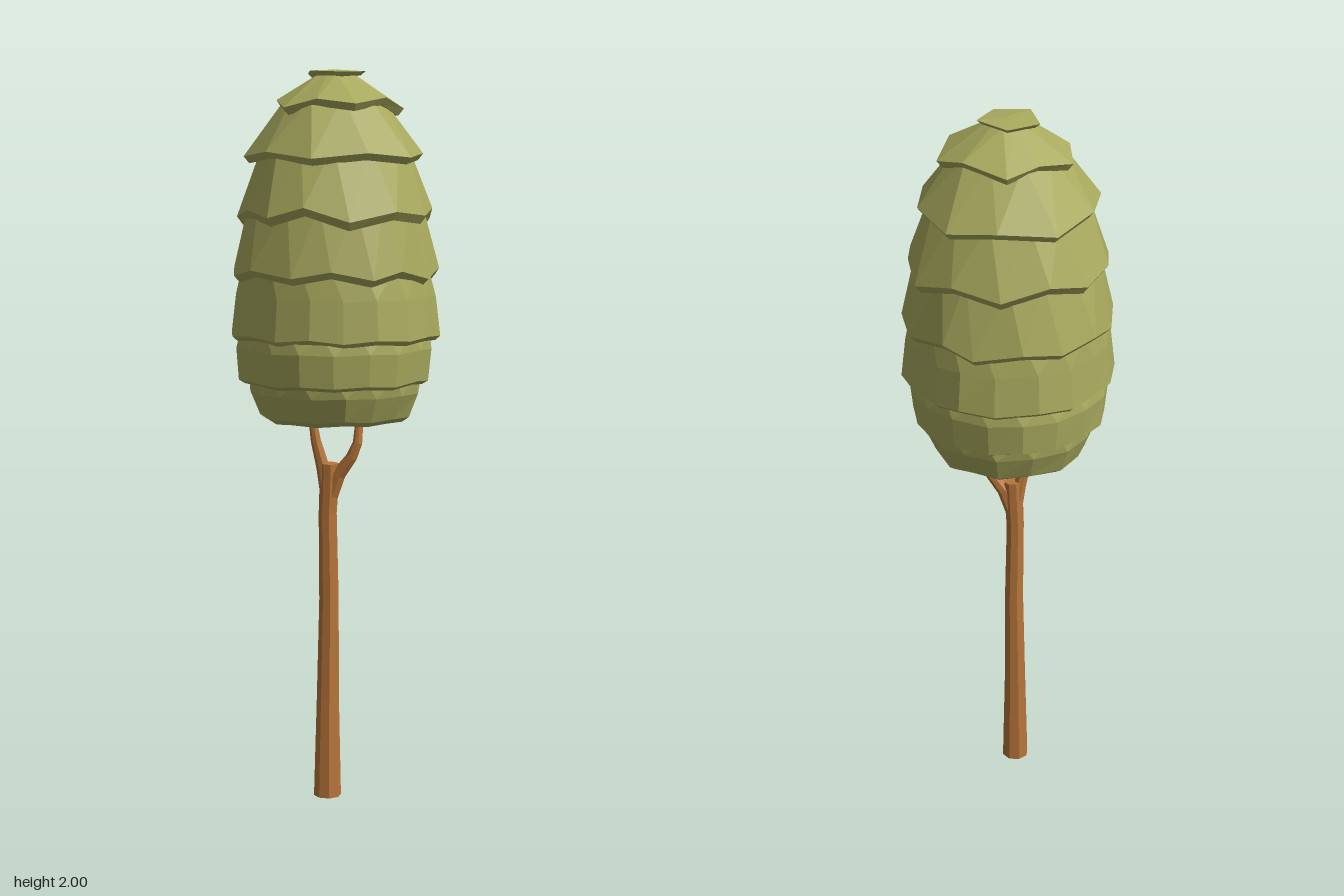
import * as THREE from 'three';

const leafMat = new THREE.MeshStandardMaterial({ color: 0xa9aa5e });
leafMat.name = 'olive leaves';
const barkMat = new THREE.MeshStandardMaterial({ color: 0xb8763a });
barkMat.name = 'brown bark';

// small seeded noise in -1..1
let seed = 7;
const noise = () => {
  seed = (seed * 16807) % 2147483647;
  return (seed / 2147483647) * 2 - 1;
};

// joins equal-sized rings, listed from top to bottom, into a faceted skin
function skin(rings) {
  const pos = [];
  const tri = (...pts) => pts.forEach((p) => pos.push(p.x, p.y, p.z));
  for (let k = 0; k < rings.length - 1; k++) {
    const t = rings[k], b = rings[k + 1], n = t.length;
    for (let i = 0; i < n; i++) {
      const j = (i + 1) % n;
      if (t[i].distanceTo(t[j]) > 1e-5) tri(t[i], t[j], b[j]);
      if (b[i].distanceTo(b[j]) > 1e-5) tri(t[i], b[j], b[i]);
    }
  }
  const geo = new THREE.BufferGeometry();
  geo.setAttribute('position', new THREE.Float32BufferAttribute(pos, 3));
  geo.computeVertexNormals();
  return geo;
}

// one leaf tier: profile of [radius, height] rings; the rim dips at every second corner
function leafTier({ n, start, profile, dip, wobble, pinch = 0 }) {
  const jitter = Array.from({ length: n }, () => [noise(), noise(), noise()]);
  const rings = profile.map(([r, y, loose = 1], k) => jitter.map(([jr, jy, ja], i) => {
    const odd = i % 2;
    const rr = r * (1 - pinch * odd) + (r ? jr * wobble * loose : 0);
    const a = start + ((i + (k === 0 ? 0.35 : 0) + ja * 0.12) / n) * Math.PI * 2;
    const yy = y + loose * (dip * (odd ? 1 : -1) + jy * dip * 0.6);
    return new THREE.Vector3(Math.cos(a) * rr, yy, Math.sin(a) * rr);
  }));
  return skin(rings);
}

// tapering branch along points of [x, y, z, radius]
function branch(points, sides = 8) {
  const v = points.map((p) => new THREE.Vector3(p[0], p[1], p[2]));
  const rings = v.map((c, k) => {
    const dir = v[Math.min(k + 1, v.length - 1)].clone().sub(v[Math.max(k - 1, 0)]).normalize();
    if (k === 0) dir.set(0, 1, 0);
    const q = new THREE.Quaternion().setFromUnitVectors(new THREE.Vector3(0, 1, 0), dir);
    return Array.from({ length: sides }, (_, i) => {
      const a = ((i + 0.5) / sides) * Math.PI * 2;
      return new THREE.Vector3(Math.cos(a), 0, Math.sin(a))
        .multiplyScalar(points[k][3]).applyQuaternion(q).add(c);
    });
  });
  // closed ends
  rings.unshift(rings[0].map(() => v[0].clone()));
  rings.push(rings[0].map(() => v[v.length - 1].clone()));
  return skin(rings.reverse());
}

export function createModel() {
  const tree = new THREE.Group();
  tree.name = 'tree';
  const add = (name, geo, mat, parent) => {
    const mesh = new THREE.Mesh(geo, mat);
    mesh.name = name;
    parent.add(mesh);
  };

  // trunk and fork
  const wood = new THREE.Group();
  wood.name = 'wood';
  tree.add(wood);
  add('trunk', branch([
    [-0.02, 0, 0.01, 0.038], [-0.019, 0.28, 0.009, 0.031], [-0.016, 0.56, 0.008, 0.027],
    [-0.019, 0.8, 0.01, 0.025], [-0.016, 0.86, 0.01, 0.026], [-0.013, 0.94, 0.012, 0.026],
  ]), barkMat, wood);
  add('rightBranch', branch([
    [-0.018, 0.84, 0.01, 0.02], [-0.032, 0.93, 0.013, 0.018], [-0.05, 1.0, 0.018, 0.014],
    [-0.059, 1.06, 0.02, 0.011], [-0.065, 1.18, 0.022, 0.009],
  ]), barkMat, wood);
  add('leftBranch', branch([
    [-0.012, 0.84, 0.01, 0.02], [0.012, 0.91, 0.012, 0.02], [0.05, 0.96, 0.016, 0.016],
    [0.067, 1.0, 0.016, 0.013], [0.07, 1.06, 0.008, 0.011], [0.072, 1.18, 0.004, 0.009],
  ]), barkMat, wood);

  // crown of overlapping tiers, top to bottom
  const crown = new THREE.Group();
  crown.name = 'crown';
  tree.add(crown);
  const up = -Math.PI / 2;
  const tiers = [
    { n: 5, start: up, dip: 0.002, wobble: 0.004,
      profile: [[0, 2.0, 0], [0.083, 1.993], [0.07, 1.982], [0, 1.975, 0]] },
    { n: 10, start: up, dip: 0.01, wobble: 0.006, pinch: 0.12,
      profile: [[0.05, 1.988, 0], [0.18, 1.912], [0.165, 1.893], [0.1, 1.9]] },
    { n: 10, start: up + Math.PI / 5, dip: 0.008, wobble: 0.006, pinch: 0.07,
      profile: [[0.135, 1.925, 0], [0.249, 1.775], [0.234, 1.757], [0.16, 1.77]] },
    { n: 14, start: up, dip: 0.013, wobble: 0.007, pinch: 0.02,
      profile: [[0.2, 1.8, 0], [0.272, 1.622], [0.256, 1.6], [0.2, 1.61]] },
    { n: 16, start: up + 0.2, dip: 0.009, wobble: 0.006,
      profile: [[0.235, 1.65, 0], [0.279, 1.463], [0.262, 1.445], [0.22, 1.46]] },
    { n: 18, start: up, dip: 0.004, wobble: 0.006,
      profile: [[0.252, 1.48, 0], [0.268, 1.4, 0.7], [0.279, 1.295], [0.265, 1.283], [0.22, 1.29]] },
    { n: 18, start: up + 0.1, dip: 0.003, wobble: 0.005,
      profile: [[0.256, 1.31, 0], [0.267, 1.26, 0.6], [0.259, 1.175], [0.242, 1.165], [0.19, 1.175]] },
    // hollow underside
    { n: 16, start: up, dip: 0.003, wobble: 0.006,
      profile: [[0.235, 1.19, 0], [0.231, 1.14, 0.6], [0.204, 1.075], [0.185, 1.062],
        [0.165, 1.11, 0.5], [0.12, 1.16, 0], [0, 1.18, 0]] },
  ];
  tiers.forEach((t, i) => add(`leafTier${i + 1}`, leafTier(t), leafMat, crown));
  return tree;
}
